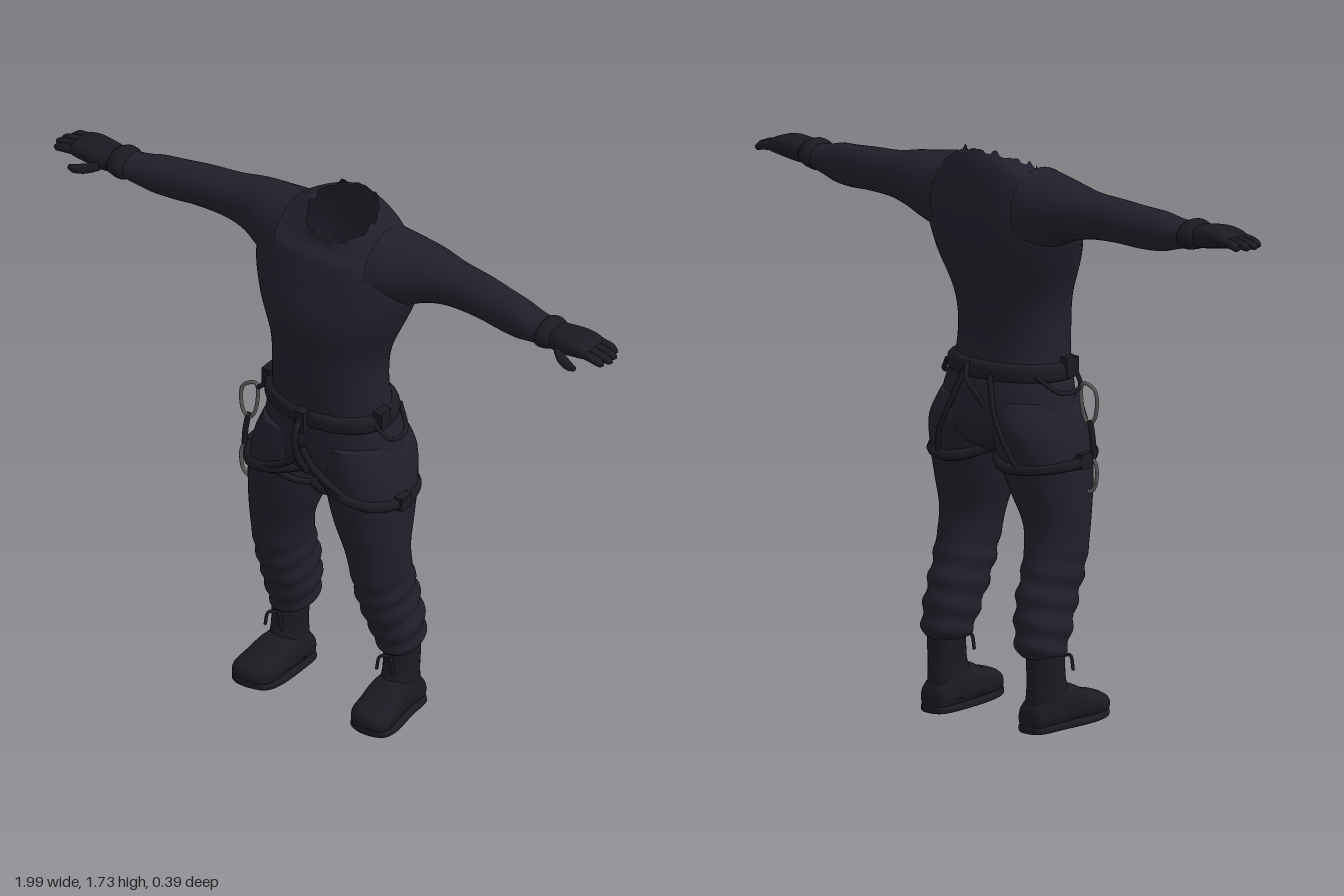
import * as THREE from 'three';

const mat = (name, color) => {
  const m = new THREE.MeshStandardMaterial({ color, side: THREE.DoubleSide });
  m.name = name;
  return m;
};

const spline = (a, b, c, d, t) =>
  0.5 * (2 * b + (c - a) * t + (2 * a - 5 * b + 4 * c - d) * t * t + (3 * b - a - 3 * c + d) * t * t * t);

// Skin through cross-sections along an axis. Row: [position, low1, high1, low2, high2],
// rising in position; the bounds are x,z for axis y, y,z for axis x and x,y for axis z.
function loft(axis, rows, { power = 2, sub = 4, seg = 36, caps = [true, true], rule } = {}) {
  const rings = [];
  const at = i => rows[Math.min(Math.max(i, 0), rows.length - 1)];
  for (let i = 0; i < rows.length - 1; i++) {
    for (let s = 0; s < sub; s++) {
      rings.push(rows[i].map((v, k) => spline(at(i - 1)[k], v, at(i + 1)[k], at(i + 2)[k], s / sub)));
    }
  }
  rings.push(at(rows.length));
  const pos = [], idx = [];
  const put = (t, u, v, a) => {
    const p = axis === 'y' ? [u, t, v] : axis === 'x' ? [t, u, v] : [u, v, t];
    pos.push(...(rule ? rule(p, a) : p));
  };
  const bend = v => Math.sign(v) * Math.abs(v) ** (2 / power);
  const tri = (a, b, c) => (axis === 'y' ? idx.push(a, c, b) : idx.push(a, b, c));
  rings.forEach(([t, a0, a1, b0, b1], i) => {
    for (let j = 0; j < seg; j++) {
      const a = (j / seg) * Math.PI * 2;
      put(t, (a0 + a1) / 2 + (a1 - a0) / 2 * bend(Math.cos(a)), (b0 + b1) / 2 + (b1 - b0) / 2 * bend(Math.sin(a)), a);
      if (i === rings.length - 1) continue;
      const p = i * seg + j, q = i * seg + (j + 1) % seg;
      tri(p, q, p + seg);
      tri(q, q + seg, p + seg);
    }
  });
  [0, rings.length - 1].forEach((r, end) => {
    if (!caps[end]) return;
    const [t, a0, a1, b0, b1] = rings[r], c = pos.length / 3;
    put(t, (a0 + a1) / 2, (b0 + b1) / 2, 0);
    for (let j = 0; j < seg; j++) {
      const p = r * seg + j, q = r * seg + (j + 1) % seg;
      end ? tri(p, q, c) : tri(q, p, c);
    }
  });
  const g = new THREE.BufferGeometry();
  g.setAttribute('position', new THREE.Float32BufferAttribute(pos, 3));
  g.setIndex(idx);
  g.computeVertexNormals();
  return g;
}

const tube = (pts, r, closed = false) => new THREE.TubeGeometry(
  new THREE.CatmullRomCurve3(pts.map(p => new THREE.Vector3(...p)), closed), pts.length * 7, r, 8, closed);

export function createModel() {
  const root = new THREE.Group();
  const suit = mat('dark navy cloth', 0x20202c);
  const gear = mat('black webbing', 0x1a1a22);
  const metal = mat('grey metal', 0x5a5a5a);
  const add = (parent, name, geo, m) => {
    const mesh = new THREE.Mesh(geo, m);
    mesh.name = name;
    parent.add(mesh);
    return mesh;
  };

  // Torso: the open neck slopes down to the front and has a ragged rim
  const torso = [
    [0.80, 0.06, -0.06, 0.05], [0.84, 0.17, -0.14, 0.11], [0.9, 0.225, -0.175, 0.138], [1.0, 0.215, -0.163, 0.138],
    [1.08, 0.19, -0.135, 0.138], [1.18, 0.182, -0.128, 0.145], [1.28, 0.19, -0.145, 0.15], [1.4, 0.237, -0.185, 0.155],
    [1.5, 0.27, -0.19, 0.125], [1.58, 0.255, -0.185, 0.095], [1.63, 0.21, -0.178, 0.068], [1.66, 0.165, -0.165, 0.052],
    [1.685, 0.108, -0.15, 0.045],
  ].map(([y, w, back, front]) => [y, -w, w, back, front]);
  const neckRule = ([x, y, z], a) => {
    const k = THREE.MathUtils.smoothstep(y, 1.58, 1.685);
    const jag = y > 1.683 ? 0.008 * Math.sin(a * 11) + 0.006 * Math.sin(a * 17) : 0;
    return [x, y - k * (z + 0.06) * 0.42 + jag, z];
  };
  add(root, 'torso', loft('y', torso, { power: 2.15, seg: 64, caps: [true, false], rule: neckRule }), suit);

  // One side of the body, built on +x and mirrored
  const side = new THREE.Group();
  side.name = 'leftSide';
  add(side, 'arm', loft('x', [
    [0.16, 1.43, 1.68, -0.18, 0.075], [0.25, 1.46, 1.668, -0.17, 0.045], [0.32, 1.488, 1.66, -0.155, 0.015],
    [0.4, 1.505, 1.645, -0.138, 0], [0.5, 1.508, 1.638, -0.125, 0], [0.58, 1.503, 1.63, -0.112, 0.005],
    [0.65, 1.505, 1.624, -0.1, 0.012], [0.7, 1.517, 1.612, -0.09, 0.016], [0.76, 1.532, 1.603, -0.08, 0.02],
  ], { caps: [false, true] }), suit);
  add(side, 'gloveCuff', loft('x', [
    [0.74, 1.54, 1.598, -0.07, 0.01], [0.745, 1.525, 1.612, -0.087, 0.03], [0.77, 1.527, 1.618, -0.088, 0.033],
    [0.795, 1.535, 1.608, -0.078, 0.025],
  ], { sub: 3 }), gear);
  add(side, 'palm', loft('x', [
    [0.78, 1.537, 1.604, -0.072, 0.02], [0.83, 1.54, 1.61, -0.078, 0.032], [0.88, 1.548, 1.611, -0.08, 0.034],
    [0.92, 1.556, 1.6, -0.076, 0.03], [0.93, 1.568, 1.588, -0.06, 0.015],
  ], { power: 2.5 }), gear);
  [0.985, 0.997, 0.993, 0.978].forEach((tip, i) => {
    const z = 0.017 - i * 0.027, r = 0.014;
    add(side, 'finger', loft('x', [
      [0.89, 1.58 - r, 1.58 + r, z - r, z + r], [0.95, 1.573 - r, 1.573 + r, z - r, z + r],
      [tip - 0.012, 1.567 - 0.012, 1.567 + 0.012, z - 0.012, z + 0.012],
      [tip, 1.565 - 0.004, 1.565 + 0.004, z - 0.004, z + 0.004],
    ], { seg: 14 }), gear);
  });
  add(side, 'thumb', loft('x', [
    [0.82, 1.545, 1.58, 0.005, 0.035], [0.85, 1.535, 1.567, 0.022, 0.058], [0.885, 1.53, 1.558, 0.038, 0.067],
    [0.908, 1.534, 1.55, 0.047, 0.06],
  ], { seg: 16 }), gear);

  // Trouser leg, with soft folds on the shin
  const folds = ([x, y, z], a) => {
    const k = 0.005 * THREE.MathUtils.smoothstep(0.56 - y, 0, 0.12) * Math.sin(y * 85 + 2 * Math.sin(a));
    return [x + k * Math.cos(a), y, z + k * Math.sin(a)];
  };
  add(side, 'trouserLeg', loft('y', [
    [0.215, 0.16, 0.235, -0.12, -0.02], [0.235, 0.13, 0.252, -0.155, 0.005], [0.3, 0.112, 0.26, -0.158, 0.025],
    [0.4, 0.103, 0.253, -0.143, 0.068], [0.5, 0.096, 0.257, -0.11, 0.098], [0.6, 0.078, 0.262, -0.092, 0.112],
    [0.7, 0.042, 0.265, -0.12, 0.13], [0.8, 0.014, 0.264, -0.15, 0.14], [0.9, 0.0, 0.245, -0.175, 0.142],
    [0.98, 0.01, 0.21, -0.15, 0.13],
  ], { sub: 7, power: 2.15, rule: folds }), suit);

  // Boot
  add(side, 'bootShaft', loft('y', [
    [0.04, 0.145, 0.248, -0.138, 0.01], [0.1, 0.147, 0.25, -0.136, 0.015], [0.15, 0.15, 0.25, -0.132, -0.002],
    [0.2, 0.148, 0.252, -0.133, -0.008], [0.25, 0.148, 0.252, -0.133, -0.008],
  ]), gear);
  add(side, 'bootFoot', loft('z', [
    [-0.142, 0.17, 0.225, 0.015, 0.06], [-0.13, 0.15, 0.245, 0.003, 0.09], [-0.07, 0.143, 0.252, 0.004, 0.13],
    [0, 0.14, 0.262, 0.012, 0.135], [0.06, 0.14, 0.274, 0.017, 0.11], [0.11, 0.147, 0.276, 0.022, 0.098],
    [0.138, 0.17, 0.262, 0.032, 0.083], [0.146, 0.195, 0.24, 0.045, 0.07],
  ], { power: 2.5 }), gear);
  add(side, 'bootSole', loft('z', [
    [-0.145, 0.165, 0.23, 0, 0.022], [-0.12, 0.143, 0.252, 0, 0.024], [-0.04, 0.138, 0.26, 0.003, 0.026],
    [0.06, 0.136, 0.279, 0.01, 0.036], [0.12, 0.15, 0.275, 0.018, 0.045], [0.148, 0.19, 0.245, 0.03, 0.05],
  ], { power: 4 }), gear);
  for (const dx of [-0.02, 0.02]) {
    add(side, 'bootLace', tube([[0.2, 0.21, -0.01], [0.2 + dx, 0.215, 0.012], [0.2 + dx * 1.5, 0.17, 0.016]], 0.005), gear);
  }

  // Harness straps on this side
  add(side, 'legLoop', tube([
    [0.268, 0.8, 0], [0.22, 0.812, 0.11], [0.13, 0.835, 0.143], [0.03, 0.86, 0.1],
    [0.008, 0.83, -0.04], [0.1, 0.79, -0.15], [0.21, 0.79, -0.12],
  ], 0.017, true), gear);
  add(side, 'frontStrap', tube([[0, 0.96, 0.155], [0.04, 0.9, 0.15], [0.12, 0.85, 0.147], [0.19, 0.82, 0.135]], 0.011), gear);
  add(side, 'crotchStrap', tube([[0.12, 0.845, 0.147], [0.05, 0.815, 0.125], [0, 0.81, 0.1]], 0.01), gear);
  add(side, 'backStrap', tube([[0.05, 1.06, -0.15], [0.09, 0.95, -0.175], [0.13, 0.87, -0.175], [0.16, 0.79, -0.15]], 0.008), gear);
  add(side, 'gearLoop', tube([[0.19, 1.07, 0.06], [0.235, 1.02, 0.04], [0.235, 1.01, -0.04], [0.18, 1.06, -0.09]], 0.007), gear);
  add(side, 'hipBuckle', new THREE.BoxGeometry(0.03, 0.06, 0.05).translate(0.2, 1.075, 0.03), gear);
  add(side, 'thighBuckle', new THREE.BoxGeometry(0.03, 0.045, 0.05).translate(0.268, 0.805, 0.02), gear);
  root.add(side);
  const mirrored = side.clone();
  mirrored.name = 'rightSide';
  mirrored.scale.x = -1;
  root.add(mirrored);

  // Waist belt, front loop and rear loop
  add(root, 'waistBelt', loft('y', [
    [1.035, -0.195, 0.195, -0.14, 0.138], [1.045, -0.212, 0.212, -0.155, 0.152],
    [1.08, -0.21, 0.21, -0.152, 0.154], [1.092, -0.185, 0.185, -0.135, 0.14],
  ], { power: 2.15 }), gear);
  add(root, 'belayLoop', tube([
    [0, 1.08, 0.15], [0, 1.04, 0.185], [0, 0.98, 0.187], [0, 0.92, 0.165], [0, 0.87, 0.13],
  ], 0.011), gear);
  add(root, 'beltKnot', new THREE.BoxGeometry(0.035, 0.07, 0.03).translate(0, 1.06, 0.155), gear);
  add(root, 'rearLoop', tube([[0.04, 1.08, -0.15], [0.02, 1.04, -0.175], [-0.02, 1.0, -0.178], [-0.04, 0.96, -0.16]], 0.009), gear);

  // Clips hanging on the right hip, joined by a sling
  const clip = (y, h, m) => add(root, 'clip', tube([
    [-0.245, y + h, 0.04], [-0.285, y + h * 0.7, 0.05], [-0.28, y - h * 0.7, 0.055],
    [-0.262, y - h, 0.05], [-0.245, y - h * 0.6, 0.045],
  ], 0.006, true), m);
  clip(0.97, 0.06, metal);
  clip(0.76, 0.055, metal);
  add(root, 'sling', tube([[-0.265, 0.92, 0.05], [-0.275, 0.87, 0.05], [-0.28, 0.81, 0.05]], 0.009), gear);
  return root;
}
